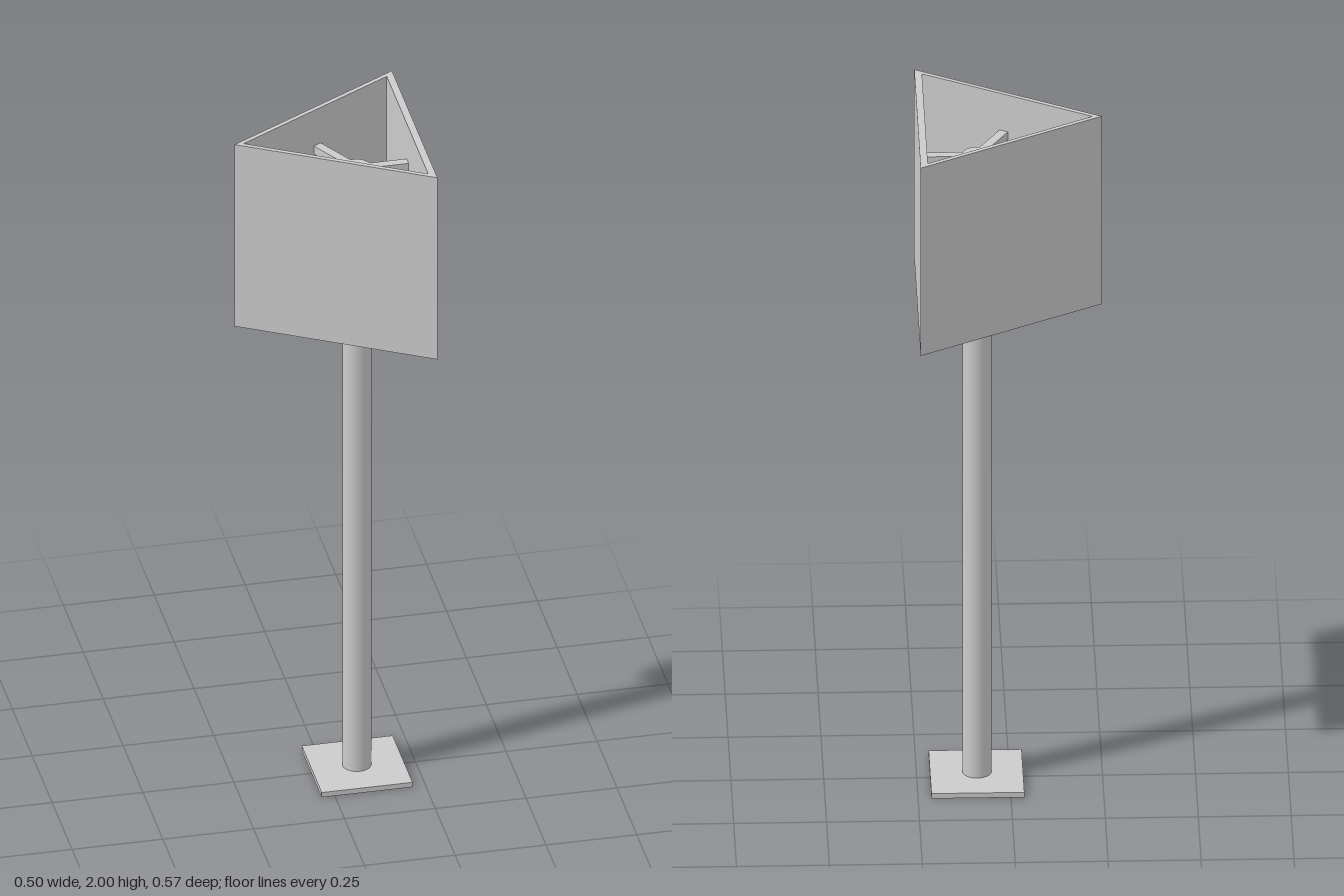
import * as THREE from 'three';

const material = new THREE.MeshStandardMaterial({ color: 0xcccccc });

function add(parent, name, geometry, x = 0, y = 0, z = 0) {
  const mesh = new THREE.Mesh(geometry, material);
  mesh.name = name;
  mesh.position.set(x, y, z);
  parent.add(mesh);
  return mesh;
}

// Triangle with its point at tipX and its flat side at backX, as [x, z] corners
function triangle(PathType, tipX, backX) {
  const half = (backX - tipX) * Math.tan(Math.PI / 6);
  return new PathType([
    new THREE.Vector2(tipX, 0),
    new THREE.Vector2(backX, -half),
    new THREE.Vector2(backX, half),
  ]);
}

export function createModel() {
  const model = new THREE.Group();
  model.name = 'triangularSignPost';

  const poleX = 0.088, poleZ = 0.003, poleTop = 1.89, baseHeight = 0.015;

  // Square foot plate and round pole
  add(model, 'basePlate', new THREE.BoxGeometry(0.25, baseHeight, 0.25), 0.089, baseHeight / 2, poleZ);
  const poleHeight = poleTop - baseHeight;
  add(model, 'pole', new THREE.CylinderGeometry(0.039, 0.039, poleHeight, 40),
    poleX, baseHeight + poleHeight / 2, poleZ);

  // Three-sided panel housing, open at top and bottom, thicker on the +x side
  const bottom = 1.43, top = 2;
  const outline = triangle(THREE.Shape, -0.248, 0.248);
  outline.holes.push(triangle(THREE.Path, -0.223, 0.228));
  const housing = new THREE.ExtrudeGeometry(outline, { depth: top - bottom, bevelEnabled: false });
  housing.rotateX(-Math.PI / 2);
  add(model, 'panelHousing', housing, 0, bottom, 0);

  // Three bracket arms from the pole to the panels
  const armSize = 0.025;
  [0.141, 0.16, 0.155].forEach((reach, i) => {
    const start = 0.034;
    const arm = new THREE.BoxGeometry(reach - start, armSize, armSize);
    arm.translate((reach + start) / 2, 0, 0);
    const mesh = add(model, 'bracketArm' + (i + 1), arm, poleX, poleTop - armSize / 2 - 0.001, poleZ);
    mesh.rotation.y = (i * Math.PI * 2) / 3;
  });

  return model;
}
